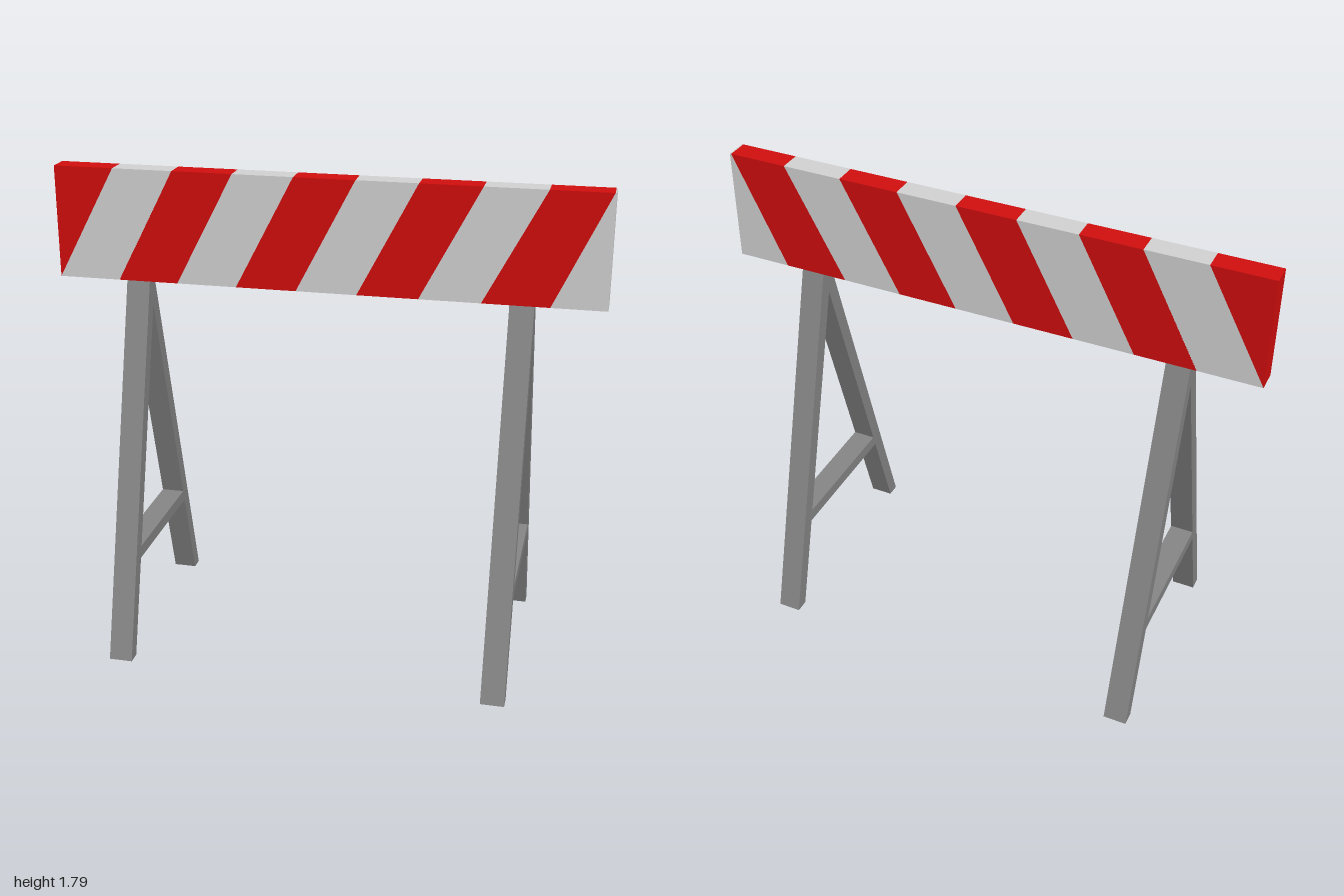
import * as THREE from 'three';

const mat = (name, color) => Object.assign(new THREE.MeshStandardMaterial({ color }), { name });

// Polygon extruded by depth, centred on z = 0
function slab(points, depth) {
  const shape = new THREE.Shape(points.map(([x, y]) => new THREE.Vector2(x, y)));
  const g = new THREE.ExtrudeGeometry(shape, { depth, bevelEnabled: false });
  return g.translate(0, 0, -depth / 2);
}

export function createModel() {
  const red = mat('signal red', 0xd40e0e);
  const white = mat('off white', 0xd4d4d4);
  const grey = mat('leg grey', 0x878787);
  const model = new THREE.Group();
  model.name = 'barricade';

  const add = (parent, name, geometry, material) => {
    const mesh = new THREE.Mesh(geometry, material);
    mesh.name = name;
    parent.add(mesh);
    return mesh;
  };

  // Board: slanted stripes running right through its thickness
  const board = new THREE.Group();
  board.name = 'stripedBoard';
  model.add(board);
  const y0 = 1.38, y1 = 1.793, step = 2 / 9;
  for (let i = 0; i < 9; i++) {
    const top = -1 + i * step;
    const end = i === 8 ? 0.995 : top + step;
    const foot = i === 8 ? 0.802 : top + 0.006;
    const points = i === 0
      ? [[-1, y0], [end, y1], [-1, y1]]
      : [[i === 1 ? -1 : top - step + 0.006, y0], [foot, y0], [end, y1], [top, y1]];
    if (i === 1) points[1][0] = -0.77;
    add(board, 'stripe' + (i + 1), slab(points, 0.08), i % 2 ? white : red);
  }
  // White corner closing the +x end
  add(board, 'endCorner', slab([[0.802, y0], [1, y0], [1, y1], [0.995, y1]], 0.08), white);

  // A-frame trestles, drawn in profile and turned to run along x
  for (const side of [-1, 1]) {
    const trestle = new THREE.Group();
    trestle.name = side > 0 ? 'leftTrestle' : 'rightTrestle';
    trestle.position.x = side * 0.703;
    trestle.rotation.y = -Math.PI / 2;
    model.add(trestle);
    for (const s of [1, -1]) {
      const leg = [[0.37, 0], [0.421, 0], [0.026, 1.38], [0, 1.38], [0, 1.28]];
      add(trestle, s > 0 ? 'frontLeg' : 'backLeg', slab(leg.map(([z, y]) => [s * z, y]), 0.087), grey);
    }
    const bar = [[-0.266, 0.36], [0.266, 0.36], [0.253, 0.405], [-0.253, 0.405]];
    add(trestle, 'crossbar', slab(bar, 0.087), grey);
  }
  return model;
}
